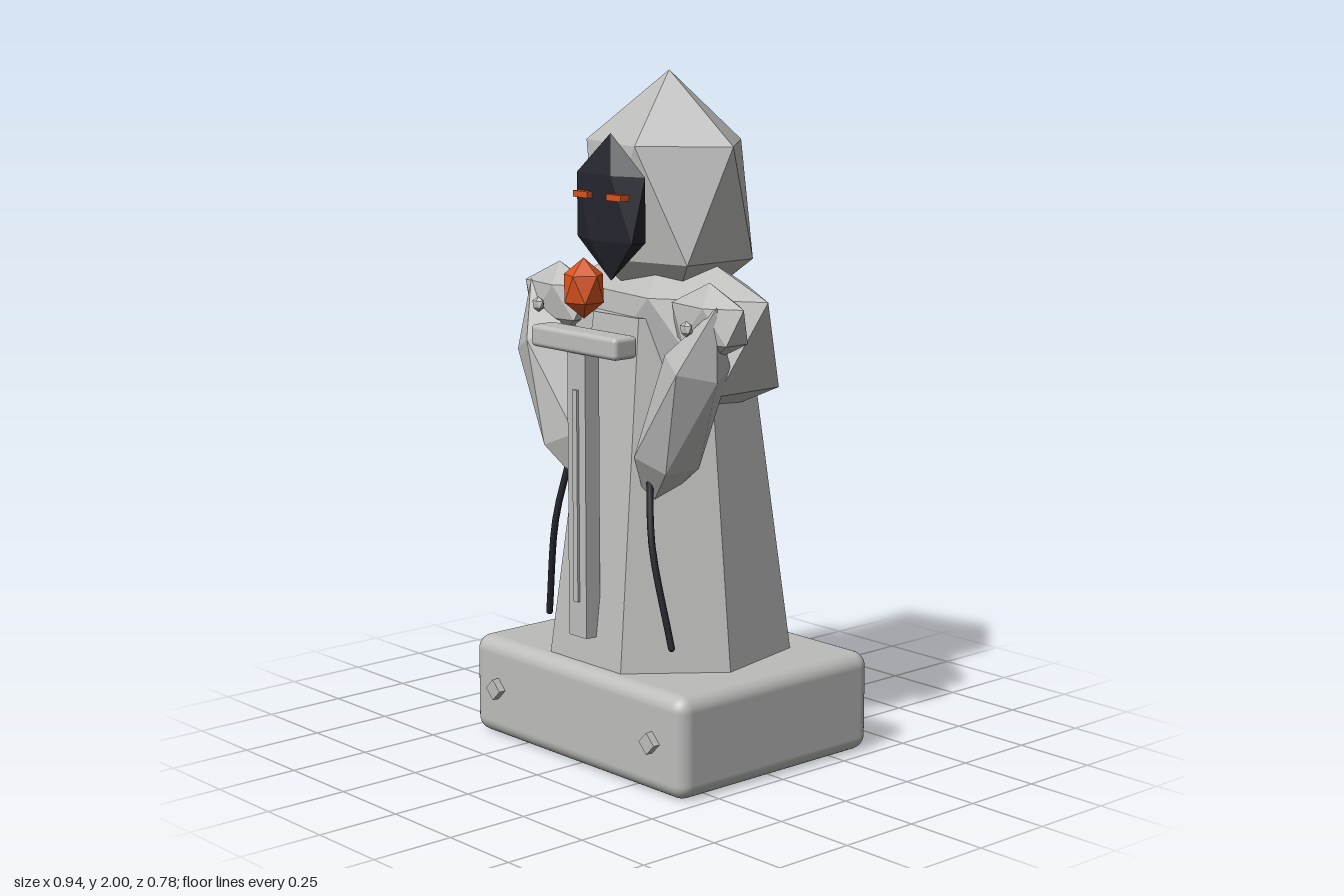
import * as THREE from 'three';
import { RoundedBoxGeometry } from 'three/addons/geometries/RoundedBoxGeometry.js';
import { ConvexGeometry } from 'three/addons/geometries/ConvexGeometry.js';

const stone = new THREE.MeshStandardMaterial({ name: 'stone grey', color: 0xbcbcbb });
const shadow = new THREE.MeshStandardMaterial({ name: 'near black', color: 0x24252e });
const ember = new THREE.MeshStandardMaterial({ name: 'ember orange', color: 0xd9541e });

// Icosahedron standing on a pole, with separate radii per axis
function gem(rx, ry, rz) {
  const points = [new THREE.Vector3(0, ry, 0), new THREE.Vector3(0, -ry, 0)];
  for (let i = 0; i < 5; i++) {
    const a = (i * Math.PI * 2) / 5;
    const x = 0.8944 * Math.cos(a) * rx;
    const z = 0.8944 * Math.sin(a) * rz;
    points.push(new THREE.Vector3(x, 0.4472 * ry, z), new THREE.Vector3(-x, -0.4472 * ry, z));
  }
  return new ConvexGeometry(points);
}

export function createModel() {
  const model = new THREE.Group();
  model.name = 'hoodedStatue';

  function add(name, geometry, material, x, y, z) {
    const mesh = new THREE.Mesh(geometry, material);
    mesh.name = name;
    mesh.position.set(x, y, z);
    model.add(mesh);
    return mesh;
  }

  // Plinth
  add('plinth', new RoundedBoxGeometry(0.94, 0.3, 0.755, 4, 0.045), stone, 0, 0.152, -0.012);

  // Seven-sided robe with one corner at the back
  const robe = new THREE.CylinderGeometry(0.227, 0.365, 1.02, 7).toNonIndexed();
  robe.rotateY(Math.PI);
  robe.computeVertexNormals();
  add('robe', robe, stone, 0, 0.8, -0.01);

  // Mantle, hood and the dark face with glowing eyes
  add('mantle', gem(0.464, 0.295, 0.23), stone, 0, 1.238, -0.01);
  add('hood', gem(0.302, 0.37, 0.242), stone, 0, 1.63, -0.01);
  add('face', gem(0.165, 0.21, 0.048), shadow, 0, 1.62, 0.212);

  // Sword held point down
  add('blade', new THREE.BoxGeometry(0.078, 0.86, 0.052), stone, 0, 0.815, 0.318);
  add('bladeRidge', new THREE.BoxGeometry(0.02, 0.62, 0.009), stone, 0, 0.8, 0.347);
  add('crossguard', new RoundedBoxGeometry(0.375, 0.064, 0.086, 3, 0.014), stone, 0, 1.247, 0.317);
  add('pommelGem', gem(0.065, 0.087, 0.065), ember, 0, 1.398, 0.314);

  // Paired parts
  for (const s of [1, -1]) {
    const side = s > 0 ? 'left' : 'right';
    add(side + 'Eye', new THREE.BoxGeometry(0.063, 0.018, 0.03), ember, s * 0.073, 1.655, 0.25);
    add(side + 'Pauldron', gem(0.155, 0.113, 0.078), stone, s * 0.327, 1.317, 0.132);
    add(side + 'PauldronStud', gem(0.024, 0.023, 0.016), stone, s * 0.325, 1.308, 0.217);

    const sleeve = add(side + 'Sleeve', gem(0.1, 0.344, 0.12), stone, s * 0.264, 1.06, 0.178);
    sleeve.rotation.z = -s * 0.428;

    const cordPath = new THREE.CatmullRomCurve3([
      new THREE.Vector3(s * 0.18, 0.855, 0.225),
      new THREE.Vector3(s * 0.215, 0.68, 0.248),
      new THREE.Vector3(s * 0.274, 0.385, 0.226),
    ]);
    add(side + 'Cord', new THREE.TubeGeometry(cordPath, 8, 0.01, 8), shadow, 0, 0, 0);

    const stud = new THREE.CylinderGeometry(0.032, 0.032, 0.028, 4).toNonIndexed();
    stud.rotateX(Math.PI / 2);
    stud.computeVertexNormals();
    add(side + 'PlinthStud', stud, stone, s * 0.348, 0.155, 0.374);
  }

  // Caps for the open cord ends
  for (const s of [1, -1]) {
    add('cordEnd', new THREE.SphereGeometry(0.01, 8, 6), shadow, s * 0.274, 0.385, 0.226);
    add('cordStart', new THREE.SphereGeometry(0.01, 8, 6), shadow, s * 0.18, 0.855, 0.225);
  }

  return model;
}
